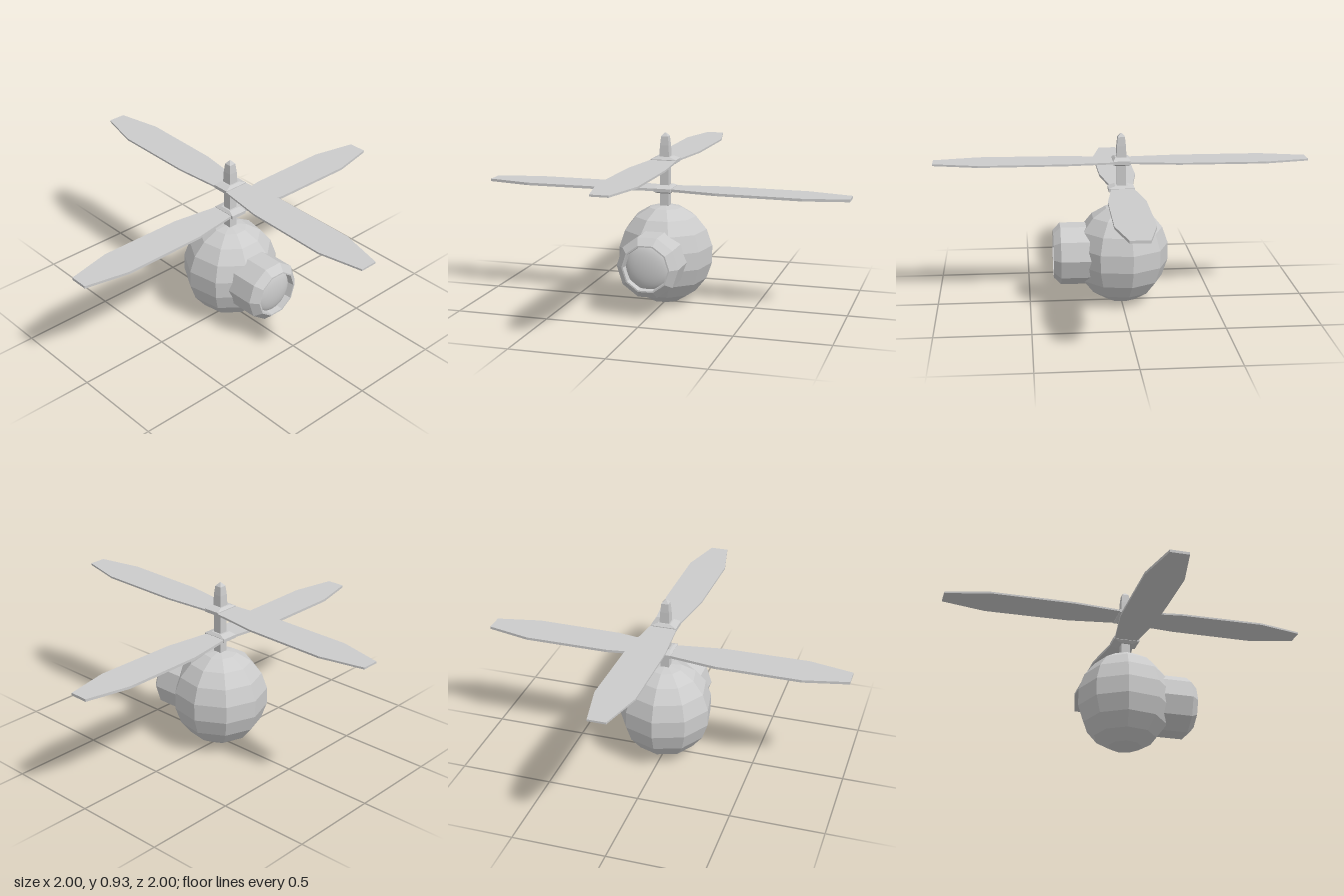
import * as THREE from 'three';

const flat = new THREE.MeshStandardMaterial({ color: 0xcccccc, flatShading: true });
const smooth = new THREE.MeshStandardMaterial({ color: 0xcccccc });

function add(parent, name, geometry, material = flat) {
  const mesh = new THREE.Mesh(geometry, material);
  mesh.name = name;
  parent.add(mesh);
  return mesh;
}

// Rectangular sections [y, half width x, half width z], joined from bottom to top
function squareLoft(rows) {
  const pos = [], index = [];
  for (const [y, x, z] of rows) pos.push(x, y, z, x, y, -z, -x, y, -z, -x, y, z);
  for (let r = 0; r < rows.length - 1; r++) {
    for (let i = 0; i < 4; i++) {
      const a = r * 4 + i, b = r * 4 + (i + 1) % 4;
      index.push(a, b, b + 4, a, b + 4, a + 4);
    }
  }
  const t = (rows.length - 1) * 4;
  index.push(0, 2, 1, 0, 3, 2, t, t + 1, t + 2, t, t + 2, t + 3);
  const g = new THREE.BufferGeometry();
  g.setAttribute('position', new THREE.Float32BufferAttribute(pos, 3));
  g.setIndex(index);
  const out = g.toNonIndexed();
  out.computeVertexNormals();
  return out;
}

// Flat blade from an outline of [x, z] points, centred on y = 0
function bladeGeometry(points, thickness) {
  const shape = new THREE.Shape(points.map(([x, z]) => new THREE.Vector2(x, -z)));
  const g = new THREE.ExtrudeGeometry(shape, { depth: thickness, bevelEnabled: false });
  g.translate(0, 0, -thickness / 2);
  return g.rotateX(-Math.PI / 2);
}

export function createModel() {
  const model = new THREE.Group();
  model.name = 'flyingEye';

  // Faceted round body with one edge line at the back
  const body = add(model, 'body', new THREE.SphereGeometry(0.259, 9, 9, -Math.PI / 2));
  body.scale.y = 1.05;
  body.position.y = 0.277;

  // Ten-sided eye housing with a chamfered rim and a recess
  const profile = [[0.168, 0.1], [0.168, 0.332], [0.13, 0.37], [0.122, 0.37], [0.118, 0.325]]
    .map(([r, z]) => new THREE.Vector2(r, z));
  const housing = new THREE.LatheGeometry(profile, 10, Math.PI / 2);
  housing.rotateX(Math.PI / 2);
  add(model, 'eyeHousing', housing).position.y = 0.277;

  // Smooth domed lens set in the recess
  const lens = new THREE.SphereGeometry(0.122, 32, 8, 0, Math.PI * 2, 0, Math.PI / 2);
  lens.scale(1, 0.3, 1).rotateX(Math.PI / 2);
  add(model, 'lens', lens, smooth).position.set(0, 0.277, 0.322);

  // Square mast with a pointed cap
  add(model, 'mast', squareLoft([[0.5, 0.024, 0.024], [0.8, 0.024, 0.024]]));
  add(model, 'mastCap', squareLoft([
    [0.8, 0.027, 0.027], [0.87, 0.024, 0.024], [0.918, 0.019, 0.019], [0.937, 0.003, 0.003],
  ]));

  // Two rotors: collar plus two opposite blades
  const collar = squareLoft([
    [-0.022, 0.034, 0.034], [-0.009, 0.047, 0.07], [0.009, 0.047, 0.07], [0.022, 0.034, 0.034],
  ]);
  const lower = new THREE.Group();
  lower.name = 'lowerRotor';
  lower.position.y = 0.634;
  add(lower, 'collar', collar);
  const lowerOutline = [[0.035, -0.065], [0.3, -0.105], [0.76, -0.105], [1, -0.05],
    [1, 0.05], [0.76, 0.1], [0.3, 0.095], [0.035, 0.055]];
  for (const s of [1, -1]) {
    add(lower, 'blade', bladeGeometry(lowerOutline.map(([x, z]) => [x * s, z]), 0.014));
  }
  model.add(lower);

  const upper = new THREE.Group();
  upper.name = 'upperRotor';
  upper.position.y = 0.788;
  upper.rotation.y = Math.PI / 2;
  add(upper, 'collar', collar);
  // Swept outline; the opposite blade is turned half way round
  const upperOutline = [[0.035, -0.07], [0.3, -0.092], [0.76, -0.088], [1, -0.025],
    [1, 0.07], [0.76, 0.12], [0.3, 0.11], [0.035, 0.07]];
  for (const s of [1, -1]) {
    add(upper, 'blade', bladeGeometry(upperOutline.map(([x, z]) => [x * s, z * s]), 0.01));
  }
  model.add(upper);

  return model;
}
